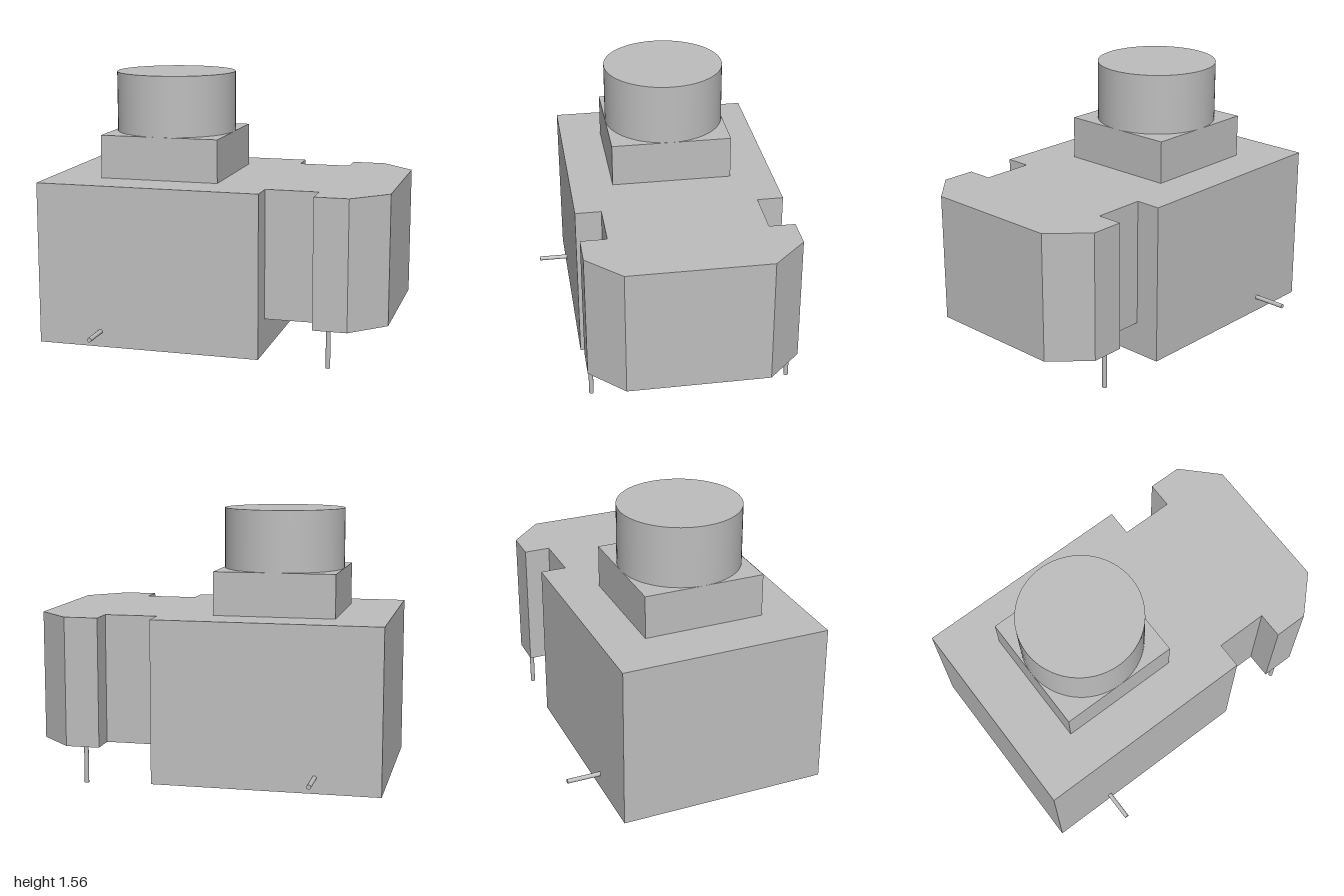
import * as THREE from 'three';

export function createModel() {
  const model = new THREE.Group();
  model.name = 'pushButtonSwitch';
  const grey = new THREE.MeshStandardMaterial({ color: 0xbebebe });
  grey.name = 'light grey';
  const midZ = 0.01; // the housing sits slightly forward of the pins' centre

  function add(name, geometry, x, y, z) {
    const mesh = new THREE.Mesh(geometry, grey);
    mesh.name = name;
    mesh.position.set(x, y, z);
    model.add(mesh);
    return mesh;
  }

  // Main housing, reaching down below the nose
  add('housing', new THREE.BoxGeometry(1.305, 0.94, 1.2), -0.3475, 0.49, midZ);

  // Nose: narrow neck between side notches, then a head with chamfered corners
  const half = [[0.305, 0.45], [0.61, 0.45], [0.61, 0.6], [0.805, 0.6], [1, 0.405]];
  const outline = [...half, ...half.map(([x, z]) => [x, -z]).reverse()];
  const noseShape = new THREE.Shape(outline.map(([x, z]) => new THREE.Vector2(x, z)));
  const nose = new THREE.ExtrudeGeometry(noseShape, { depth: 0.745, bevelEnabled: false });
  nose.rotateX(Math.PI / 2);
  add('nose', nose, 0, 0.96, midZ);

  // Button with its square base
  add('buttonBase', new THREE.BoxGeometry(0.7, 0.25, 0.7), -0.35, 1.085, midZ);
  add('button', new THREE.CylinderGeometry(0.35, 0.35, 0.35, 64), -0.35, 1.385, midZ);

  // Downward contact pins under the nose and side locating pins on the housing
  const pinRadius = 0.013;
  for (const [side, legZ, pegZ, pegLength] of [['front', 0.585, 0.695, 0.18], ['back', -0.555, -0.685, 0.2]]) {
    add(side + 'ContactPin', new THREE.CylinderGeometry(pinRadius, pinRadius, 0.22, 16), 0.697, 0.11, legZ);
    const peg = new THREE.CylinderGeometry(pinRadius, pinRadius, pegLength, 16).rotateX(Math.PI / 2);
    add(side + 'LocatingPin', peg, -0.628, 0.11, pegZ);
  }

  return model;
}
